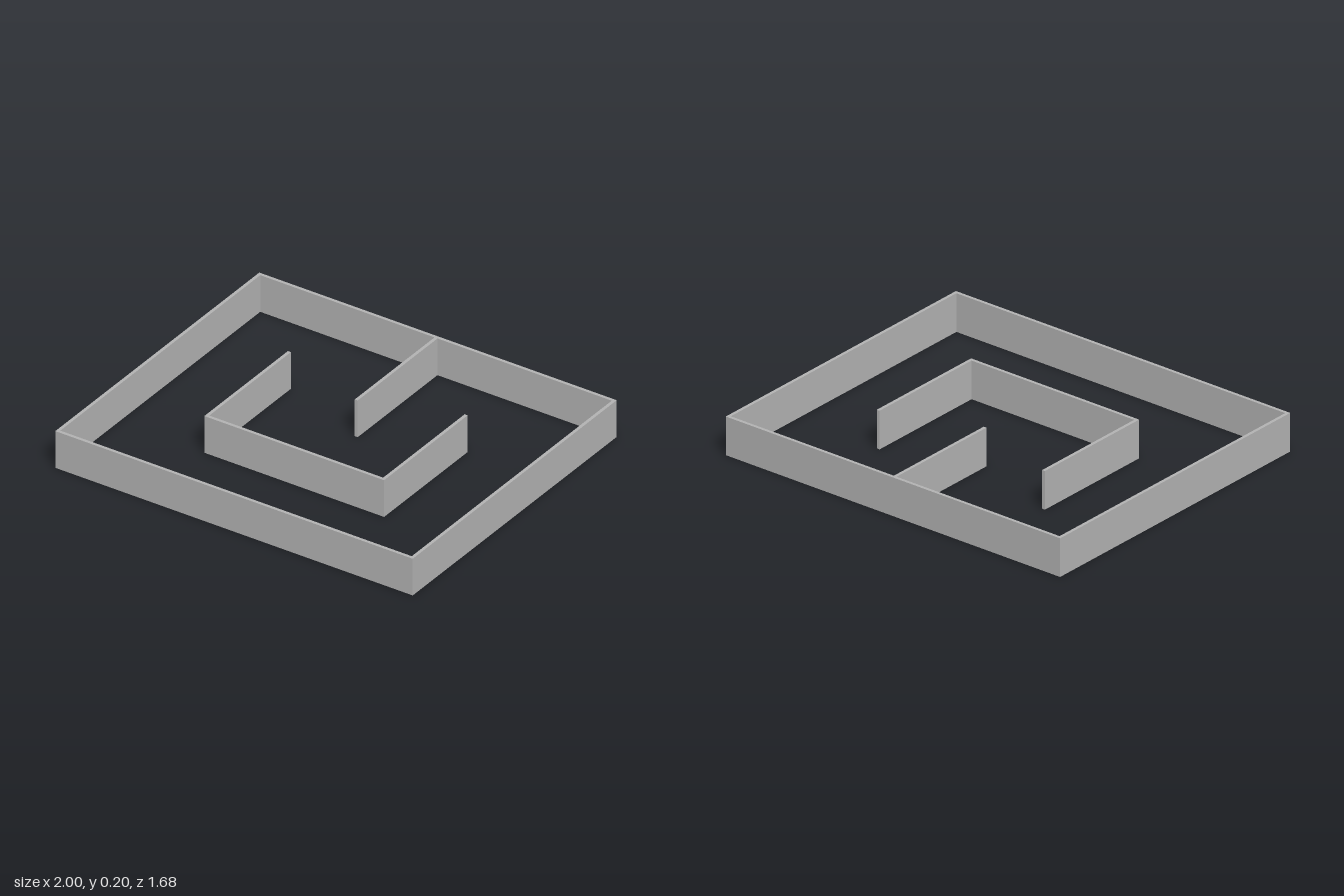
import * as THREE from 'three';

const HEIGHT = 0.2;
const THICK = 1 / 60;

export function createModel() {
  const model = new THREE.Group();
  model.name = 'walledEnclosure';
  const wallGrey = new THREE.MeshStandardMaterial({ color: 0xb3b3b3 });
  wallGrey.name = 'wall grey';

  // A wall standing on the ground, given by its footprint edges
  function wall(name, x0, x1, z0, z1) {
    const mesh = new THREE.Mesh(new THREE.BoxGeometry(x1 - x0, HEIGHT, z1 - z0), wallGrey);
    mesh.position.set((x0 + x1) / 2, HEIGHT / 2, (z0 + z1) / 2);
    mesh.name = name;
    model.add(mesh);
  }

  const outerX = 1, outerZ = 0.842;
  const innerX = 0.503, innerZ = 0.345;

  // Outer enclosure: front and back run the full width
  wall('outerFrontWall', -outerX, outerX, outerZ - THICK, outerZ);
  wall('outerBackWall', -outerX, outerX, -outerZ, -outerZ + THICK);

  // Inner U, open towards the back
  wall('innerFrontWall', -innerX, innerX, innerZ - THICK, innerZ);

  // Mirrored side walls of the enclosure and the U
  for (const [side, s] of [['Left', 1], ['Right', -1]]) {
    const sideWall = (name, x, z0, z1) => {
      const centre = s * (x - THICK / 2);
      wall(name, centre - THICK / 2, centre + THICK / 2, z0, z1);
    };
    sideWall(`outer${side}Wall`, outerX, -outerZ + THICK, outerZ - THICK);
    sideWall(`inner${side}Wall`, innerX, -innerZ, innerZ - THICK);
  }

  // Divider reaching in from the middle of the back wall
  wall('centreDivider', -THICK / 2, THICK / 2, -outerZ + THICK, -0.167);

  return model;
}
